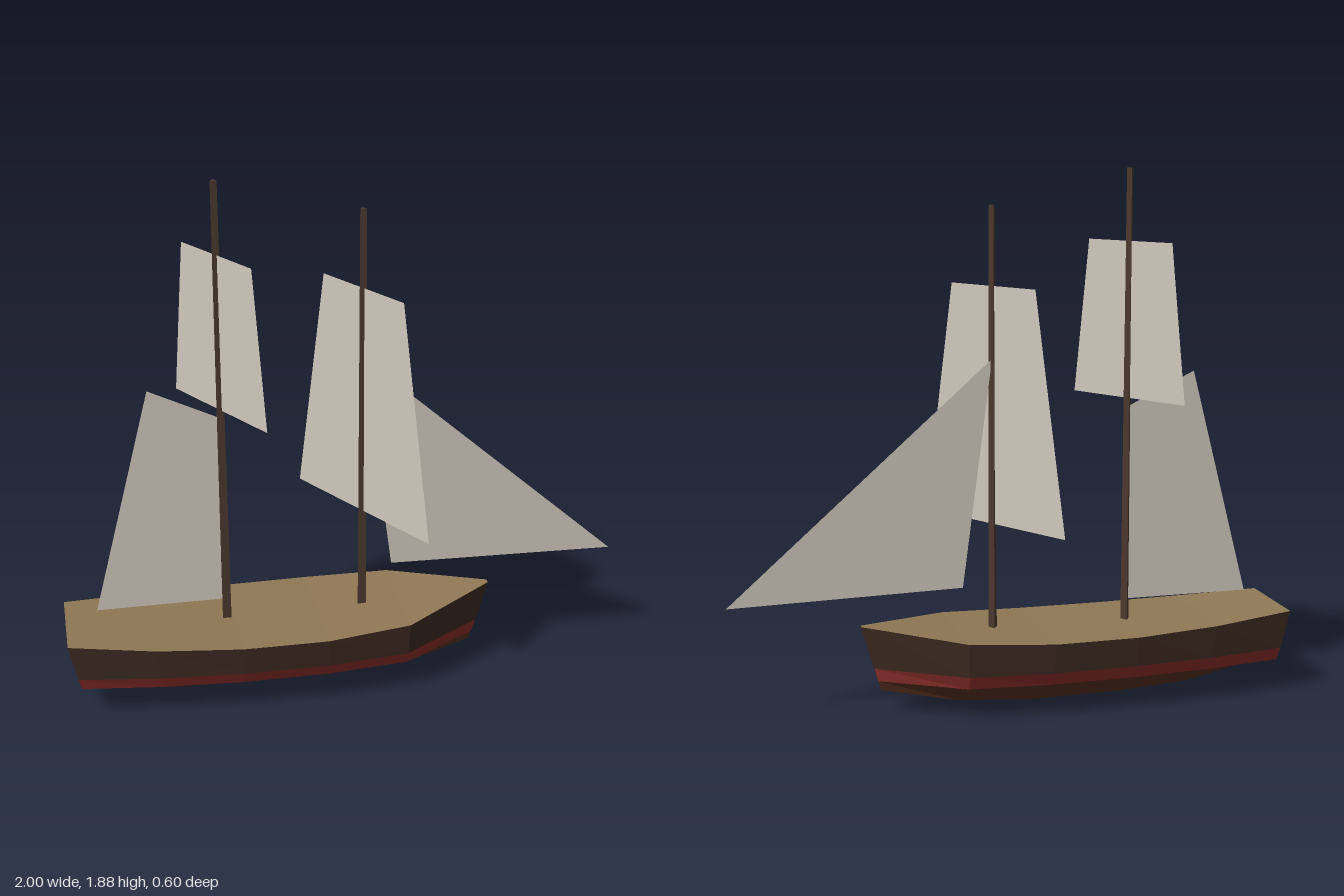
import * as THREE from 'three';
import { mergeGeometries } from 'three/addons/utils/BufferGeometryUtils.js';

const mat = (color, side = THREE.FrontSide) =>
  new THREE.MeshStandardMaterial({ color, side, flatShading: true, roughness: 0.9 });

// Flat-shaded strip of quads between two rows of points (first row on the left/top).
function strip(upper, lower) {
  const pos = [];
  for (let i = 0; i < upper.length - 1; i++) {
    const [a, b, c, d] = [upper[i], lower[i], lower[i + 1], upper[i + 1]];
    pos.push(...a, ...b, ...c, ...a, ...c, ...d);
  }
  const g = new THREE.BufferGeometry();
  g.setAttribute('position', new THREE.Float32BufferAttribute(pos, 3));
  g.computeVertexNormals();
  return g;
}

const mirror = (row) => row.map(([x, y, z]) => [x, y, -z]);

// Both sides of a hull band.
const band = (upper, lower) =>
  mergeGeometries([strip(upper, lower), strip(mirror(lower), mirror(upper))]);

export function createModel() {
  const model = new THREE.Group();
  const add = (name, geometry, material, parent = model) => {
    const mesh = new THREE.Mesh(geometry, material);
    mesh.name = name;
    parent.add(mesh);
    return mesh;
  };

  const wood = mat(0x3d2a22);
  const red = mat(0x8b2e2a);
  const bottomWood = mat(0x5a3220);
  const deckWood = mat(0x8f7855);
  const mastWood = mat(0x4a382e);
  const cloth = mat(0xd0c8bc, THREE.DoubleSide);

  // Hull stations: deck x, deck y, half width, keel x, keel y
  const stations = [
    [-1.0, 0.305, 0.162, -0.953, 0.085],
    [-0.7, 0.285, 0.21, -0.67, 0.022],
    [-0.4, 0.274, 0.235, -0.39, 0.005],
    [-0.1, 0.274, 0.238, -0.09, 0.003],
    [0.2, 0.288, 0.208, 0.19, 0.022],
    [0.535, 0.32, 0.01, 0.468, 0.085],
  ];
  // Row of points at a given height, following the rake of each station
  const rowAt = (y, widthScale) => stations.map(([dx, dy, w, kx, ky]) =>
    [THREE.MathUtils.lerp(kx, dx, (y - ky) / (dy - ky)), y, w * widthScale]);
  const rail = stations.map(([x, y, w]) => [x, y, w]);
  const stripeTop = rowAt(0.167, 0.945);
  const stripeBottom = rowAt(0.12, 0.85);
  const keel = stations.map(([, , , x, y]) => [x, y, 0]);

  const hull = new THREE.Group();
  hull.name = 'hull';
  model.add(hull);
  add('upperHull', band(rail, stripeTop), wood, hull);
  add('hullStripe', band(stripeTop, stripeBottom), red, hull);
  add('hullBottom', band(stripeBottom, keel), bottomWood, hull);
  add('deck', strip(mirror(rail), rail), deckWood, hull);

  // Closing faces at the two ends
  const section = (i) => [rail, stripeTop, stripeBottom, keel].map((row) => row[i]);
  const stern = section(0);
  const bow = section(stations.length - 1);
  add('transom', strip(stern, mirror(stern)), wood, hull);
  add('stem', strip(mirror(bow), bow), wood, hull);

  // Three-sided tapered masts with angled square sails
  const rigs = [
    { name: 'fore', x: 0.063, top: 1.76, low: 0.655, high: 1.485, wLow: 0.345, wHigh: 0.203 },
    { name: 'aft', x: -0.429, top: 1.88, low: 1.08, high: 1.63, wLow: 0.256, wHigh: 0.19 },
  ];
  for (const r of rigs) {
    const base = 0.25;
    const mast = add(r.name + 'Mast',
      new THREE.CylinderGeometry(0.013, 0.018, r.top - base, 3), mastWood);
    mast.position.set(r.x, (r.top + base) / 2, 0);
    mast.rotation.y = Math.PI;

    const sail = add(r.name + 'SquareSail', new THREE.ShapeGeometry(new THREE.Shape([
      new THREE.Vector2(-r.wLow, r.low), new THREE.Vector2(r.wLow, r.low),
      new THREE.Vector2(r.wHigh, r.high), new THREE.Vector2(-r.wHigh, r.high),
    ])), cloth);
    sail.position.x = r.x;
    sail.rotation.y = -Math.PI / 3;
  }

  // Sails along the centre line
  const flatSail = (name, points) => add(name, new THREE.ShapeGeometry(
    new THREE.Shape(points.map(([x, y]) => new THREE.Vector2(x, y)))), cloth);
  flatSail('jib', [[0.172, 0.432], [0.995, 0.415], [0.065, 1.235]]);
  flatSail('gaffSail', [[-0.887, 0.35], [-0.429, 0.35], [-0.429, 1.05], [-0.675, 1.168]]);

  return model;
}
